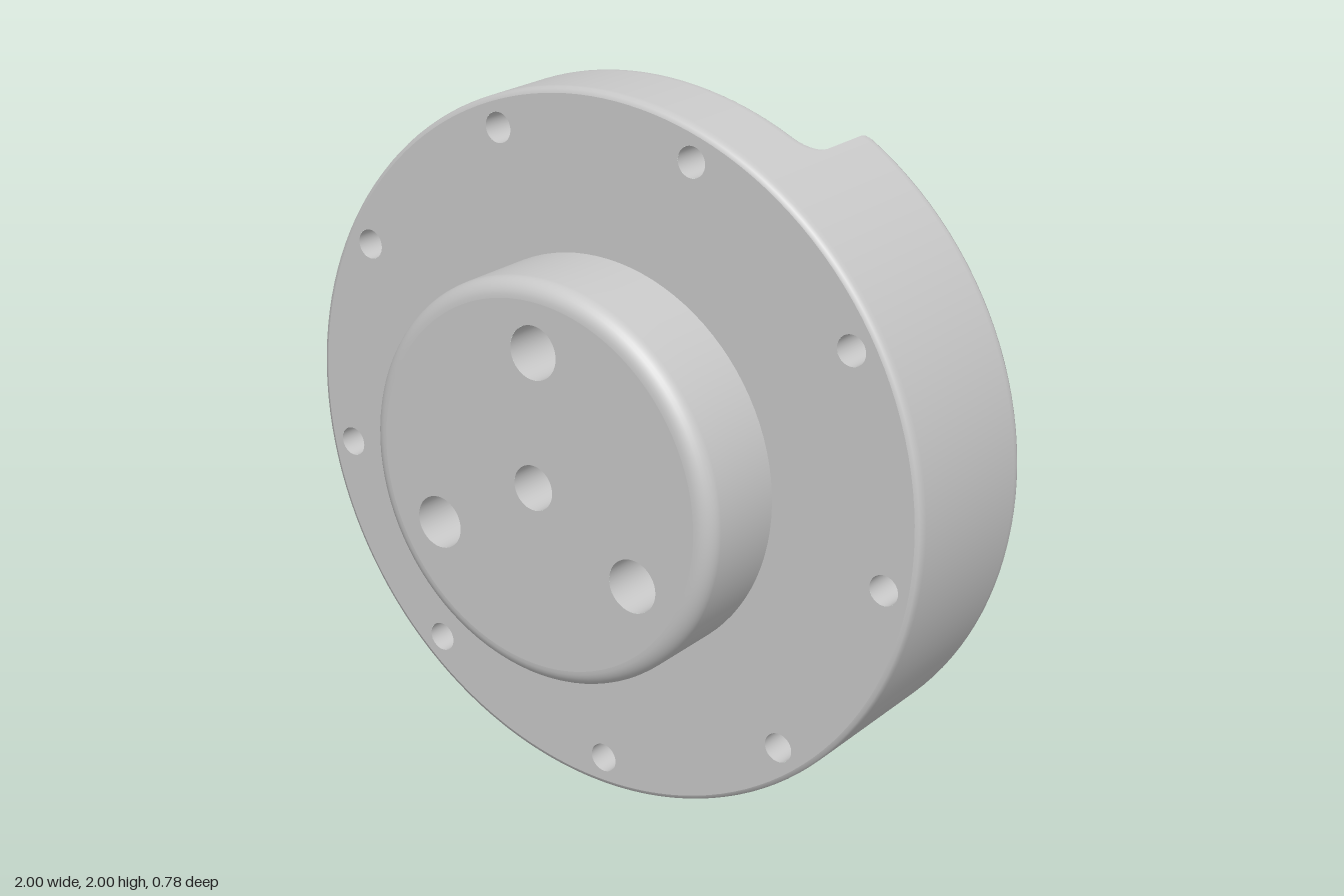
import * as THREE from 'three';
import { toCreasedNormals } from 'three/addons/utils/BufferGeometryUtils.js';

const FRONT = 0.113, BACK = -0.39, NOTCH = -0.14, FLOOR = -0.005; // z levels
const R = 1, RI = 0.828, E = 0.015;                              // rim radii, edge rounding
const F = 0.03;                                                  // pocket floor fillet
const BOSS_R = 0.562, BOSS_Z = 0.39, BLIND = 0.25;
const AXIS = THREE.MathUtils.degToRad(91);                       // centre line of the top notch

// Turns a geometry inside out
function flip(geo) {
  const ix = geo.index;
  for (let i = 0; i < ix.count; i += 3) {
    const a = ix.getX(i);
    ix.setX(i, ix.getX(i + 1));
    ix.setX(i + 1, a);
  }
  const n = geo.attributes.normal;
  for (let i = 0; i < n.count; i++) n.setXYZ(i, -n.getX(i), -n.getY(i), -n.getZ(i));
  return geo;
}

const polar = (r, a) => new THREE.Vector2(r * Math.cos(a), r * Math.sin(a));

// Stations round the rim: each gives an angle for every radius, and the back level there
function makeStations() {
  // Notch end profile from raised rim to notch floor: [offset from wall, z]
  const profile = [[E, BACK], [0.3 * E, BACK + 0.3 * E], [0, BACK + E], [0, BACK + 2 * E]];
  for (let k = 0; k <= 6; k++) {
    const a = k / 6 * Math.PI / 2, f = 0.07;
    profile.push([f * (Math.cos(a) - 1), NOTCH - f + f * Math.sin(a)]);
  }
  profile[profile.length - 1][1] = NOTCH;
  const parallel = du => r => Math.asin((0.517 + du) / r);      // top notch: straight sides
  const radial = du => r => 0.364 + du / r;                     // bottom notch: radial sides
  const wall = (half, centre, side) => profile.map(([du, z]) => {
    const h = half(du);
    return { z, angle: r => centre + side * h(r) };
  });
  const corners = [
    wall(parallel, AXIS, 1).reverse(),
    wall(radial, AXIS + Math.PI, -1),
    wall(radial, AXIS + Math.PI, 1).reverse(),
    wall(parallel, AXIS + 2 * Math.PI, -1),
  ];
  const stations = [], flats = [];
  corners.forEach((corner, c) => {
    stations.push(...corner);
    const a = corner[corner.length - 1], n = c % 2 ? 24 : 48;
    const first = corners[(c + 1) % 4][0];
    const turn = c === 3 ? 2 * Math.PI : 0;
    const span = [a];
    for (let k = 1; k <= n; k++) {
      const t = k / n;
      span.push({ z: a.z, angle: r => a.angle(r) * (1 - t) + (first.angle(r) + turn) * t });
    }
    stations.push(...span.slice(1, -1));
    flats.push(span);
  });
  return { stations, flats };
}

// Outer wall, notch ends, inner wall and pocket fillet swept through the stations
function shellGeometry(stations) {
  const section = h => [
    [R - E, FRONT], [R - 0.3 * E, FRONT - 0.3 * E], [R, FRONT - E], [R, FRONT - 2 * E],
    [R, h + 2 * E], [R, h + E], [R - 0.3 * E, h + 0.3 * E], [R - E, h],
    [RI + E, h], [RI + 0.3 * E, h + 0.3 * E], [RI, h + E], [RI, h + 2 * E],
    [RI, FLOOR - 1.5 * F], [RI, FLOOR - F], [RI - 0.3 * F, FLOOR - 0.3 * F], [RI - F, FLOOR],
  ];
  const pos = [], idx = [], m = section(0).length, n = stations.length;
  stations.forEach((s, i) => {
    const next = (i + 1) % n;
    for (const [r, z] of section(s.z)) {
      const p = polar(r, s.angle(r));
      pos.push(p.x, p.y, z);
    }
    for (let j = 0; j < m - 1; j++) {
      if (j === 7 && s.z === stations[next].z) continue; // flat faces are made with holes
      const a = i * m + j, b = next * m + j;
      idx.push(a, a + 1, b, a + 1, b + 1, b);
    }
  });
  const geo = new THREE.BufferGeometry();
  geo.setAttribute('position', new THREE.Float32BufferAttribute(pos, 3));
  geo.setIndex(idx);
  return toCreasedNormals(geo, 0.9);
}

function addHoles(shape, list) {
  for (const { p, r } of list) {
    shape.holes.push(new THREE.Path().absarc(p.x, p.y, r, 0, Math.PI * 2, true));
  }
  return shape;
}

export function createModel() {
  const model = new THREE.Group();
  const body = new THREE.Group();
  body.position.y = 1;
  model.add(body);
  const grey = new THREE.MeshStandardMaterial({ color: 0xc8c8c8 });
  grey.name = 'grey';
  const add = (name, geo, z = 0) => {
    const mesh = new THREE.Mesh(geo, grey);
    mesh.name = name;
    mesh.position.z = z;
    body.add(mesh);
    return mesh;
  };
  const face = shape => new THREE.ShapeGeometry(shape, 20);
  // Inner wall of a drilled hole
  const bore = (name, { p, r }, z0, z1) => {
    const geo = flip(new THREE.CylinderGeometry(r, r, z1 - z0, 40, 1, true)).rotateX(Math.PI / 2);
    add(name, geo).position.set(p.x, p.y, (z0 + z1) / 2);
  };

  const { stations, flats } = makeStations();
  add('housingShell', shellGeometry(stations));

  // Nine bolt holes through the rim; one of every three falls in a notch
  const bolts = [];
  for (let k = 0; k < 9; k++) {
    const a = AXIS + (k - 0.5) * Math.PI * 2 / 9;
    bolts.push({ p: polar(0.914, a), r: 0.042, level: [0, 1, 5].includes(k) ? NOTCH : BACK });
  }
  bolts.forEach(b => bore('boltHole', b, b.level, FRONT));

  // Front face round the boss
  const front = new THREE.Shape(stations.map(s => polar(R - E, s.angle(R - E))));
  addHoles(front, [...bolts, { p: new THREE.Vector2(), r: BOSS_R - 0.01 }]);
  add('frontFace', new THREE.ShapeGeometry(front, 48), FRONT);

  // Flat back faces: raised rim, bottom notch floor, raised rim, top notch floor
  const boltGroups = [[2, 3, 4], [5], [6, 7, 8], [0, 1]];
  flats.forEach((span, i) => {
    const outer = span.map(s => polar(R - E, s.angle(R - E)));
    const inner = span.map(s => polar(RI + E, s.angle(RI + E))).reverse();
    const shape = addHoles(new THREE.Shape([...outer, ...inner]), boltGroups[i].map(k => bolts[k]));
    add(i % 2 ? 'notchFloor' : 'raisedRimFace', flip(face(shape)), span[0].z);
  });

  // Pocket floor
  const floor = new THREE.Shape(stations.map(s => polar(RI - F, s.angle(RI - F))));
  add('pocketFloor', flip(face(floor)), FLOOR);

  // Boss with a rounded front edge
  const f = 0.05, profile = [new THREE.Vector2(BOSS_R, FRONT - 0.01), new THREE.Vector2(BOSS_R, 0.25)];
  for (let k = 0; k <= 8; k++) {
    const a = k / 8 * Math.PI / 2;
    profile.push(new THREE.Vector2(BOSS_R - f + f * Math.cos(a), BOSS_Z - f + f * Math.sin(a)));
  }
  add('bossWall', new THREE.LatheGeometry(profile, 96).rotateX(Math.PI / 2));

  // Blind holes in the boss: one in the centre and three around it
  const blind = [{ p: new THREE.Vector2(), r: 0.063 }];
  for (let k = 0; k < 3; k++) {
    blind.push({ p: polar(0.375, THREE.MathUtils.degToRad(89.2 + 120 * k)), r: 0.074 });
  }
  const cap = addHoles(new THREE.Shape().absarc(0, 0, BOSS_R - f, 0, Math.PI * 2), blind);
  add('bossFace', new THREE.ShapeGeometry(cap, 48), BOSS_Z);
  for (const h of blind) {
    bore('blindHole', h, BOSS_Z - BLIND, BOSS_Z);
    add('blindHoleBottom', new THREE.CircleGeometry(h.r, 40)).position.set(h.p.x, h.p.y, BOSS_Z - BLIND);
  }
  return model;
}
